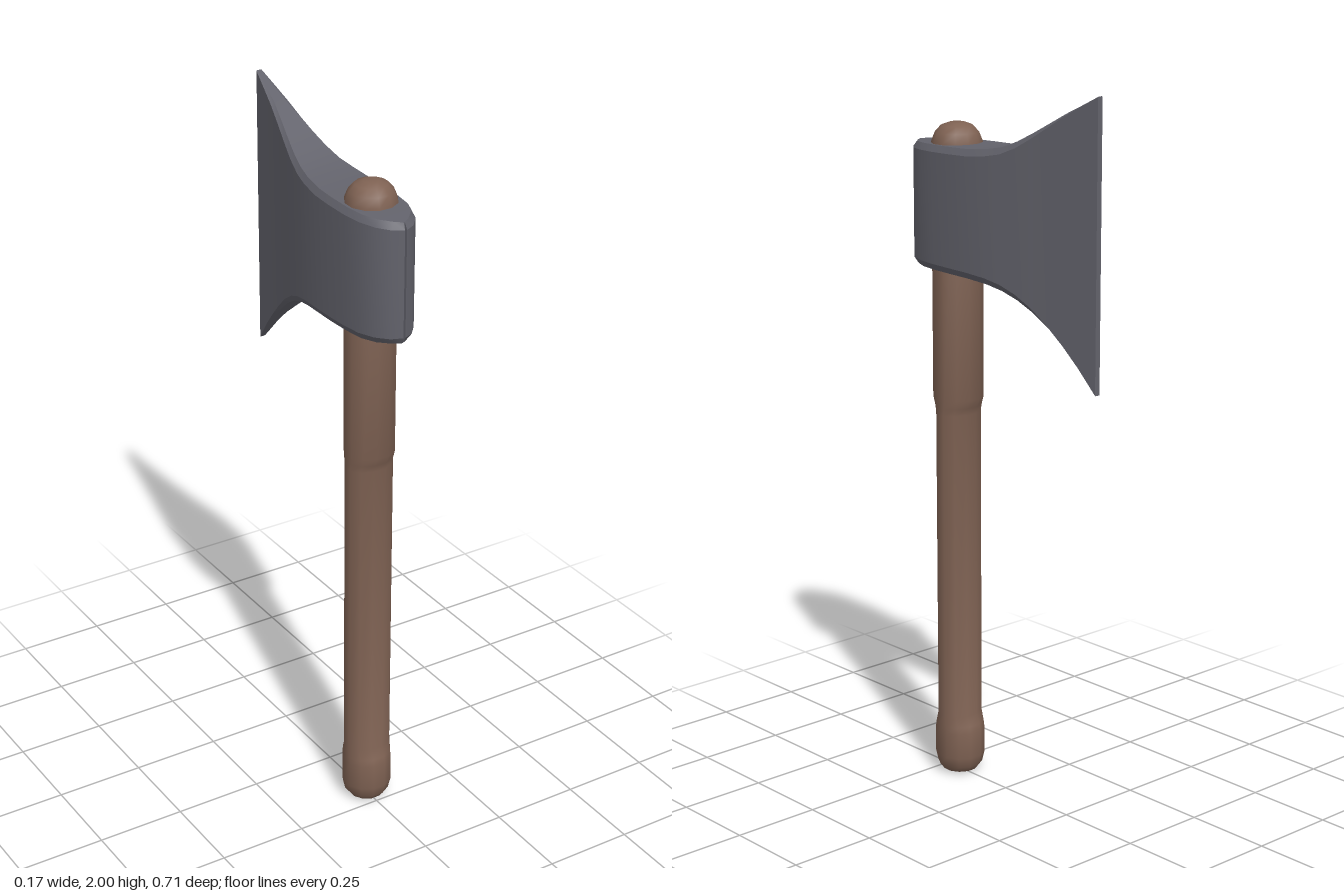
import * as THREE from 'three';
import { toCreasedNormals } from 'three/addons/utils/BufferGeometryUtils.js';

// Skins a list of equal-length rings of [x, y, z] points and caps both ends
function loft(rings, crease) {
  const n = rings[0].length;
  const index = [];
  for (let i = 0; i < rings.length - 1; i++) {
    for (let j = 0; j < n; j++) {
      const a = i * n + j, b = i * n + (j + 1) % n;
      index.push(a, b, b + n, a, b + n, a + n);
    }
  }
  const last = (rings.length - 1) * n;
  for (let j = 1; j < n - 1; j++) {
    index.push(0, j + 1, j, last, last + j, last + j + 1);
  }
  const geometry = new THREE.BufferGeometry();
  geometry.setAttribute('position', new THREE.Float32BufferAttribute(rings.flat(2), 3));
  geometry.setIndex(index);
  return toCreasedNormals(geometry, crease);
}

export function createModel() {
  const wood = new THREE.MeshStandardMaterial({ color: 0x7f6253 });
  wood.name = 'brown wood';
  const steel = new THREE.MeshStandardMaterial({ color: 0x63636c });
  steel.name = 'grey steel';
  const group = new THREE.Group();
  group.name = 'axe';

  // Handle: twelve-sided rings [y, radius across x, radius along z], slimmer in the grip
  const handleRings = [
    [0, 0.03, 0.03], [0.008, 0.05, 0.05], [0.025, 0.063, 0.063], [0.055, 0.07, 0.07],
    [0.13, 0.07, 0.07], [0.15, 0.07, 0.065], [0.18, 0.07, 0.053],
    [1.07, 0.07, 0.053], [1.09, 0.07, 0.058], [1.115, 0.07, 0.07],
    [1.825, 0.07, 0.07], [1.85, 0.06, 0.06], [1.868, 0.044, 0.044], [1.876, 0.022, 0.022],
  ].map(([y, rx, rz]) => Array.from({ length: 12 }, (_, k) => {
    const a = -(k + 0.5) * Math.PI / 6;
    return [rx * Math.cos(a), y, 0.195 + rz * Math.sin(a)];
  }));
  const handle = new THREE.Mesh(loft(handleRings, 0.9), wood);
  handle.name = 'handle';
  group.add(handle);

  // Head: bevelled sections [z, half width, bottom, top] from cutting edge to rounded poll
  const headRings = [
    [-0.355, 0.008, 1.22, 2.0], [-0.3, 0.018, 1.283, 1.972], [-0.25, 0.027, 1.332, 1.947],
    [-0.2, 0.037, 1.375, 1.918], [-0.15, 0.048, 1.412, 1.889], [-0.1, 0.059, 1.44, 1.862],
    [-0.05, 0.069, 1.459, 1.842], [0, 0.078, 1.47, 1.832], [0.066, 0.085, 1.476, 1.825],
    [0.13, 0.087, 1.478, 1.823], [0.2, 0.085, 1.479, 1.821], [0.26, 0.078, 1.48, 1.82],
    [0.307, 0.06, 1.481, 1.818], [0.34, 0.032, 1.482, 1.816], [0.355, 0.003, 1.484, 1.815],
  ].map(([z, w, bottom, top]) => {
    const inset = Math.min(0.01, w * 0.4);
    const wi = w - inset;
    const zi = z - 0.009 * THREE.MathUtils.smoothstep(z, 0.25, 0.35);
    const bevel = 0.018 * THREE.MathUtils.smoothstep(z, -0.4, -0.05);
    return [
      [wi, bottom, zi], [w, bottom + bevel, z], [w, top - bevel, z], [wi, top, zi],
      [-wi, top, zi], [-w, top - bevel, z], [-w, bottom + bevel, z], [-wi, bottom, zi],
    ];
  });
  const head = new THREE.Mesh(loft(headRings, 0.42), steel);
  head.name = 'axeHead';
  group.add(head);

  return group;
}
